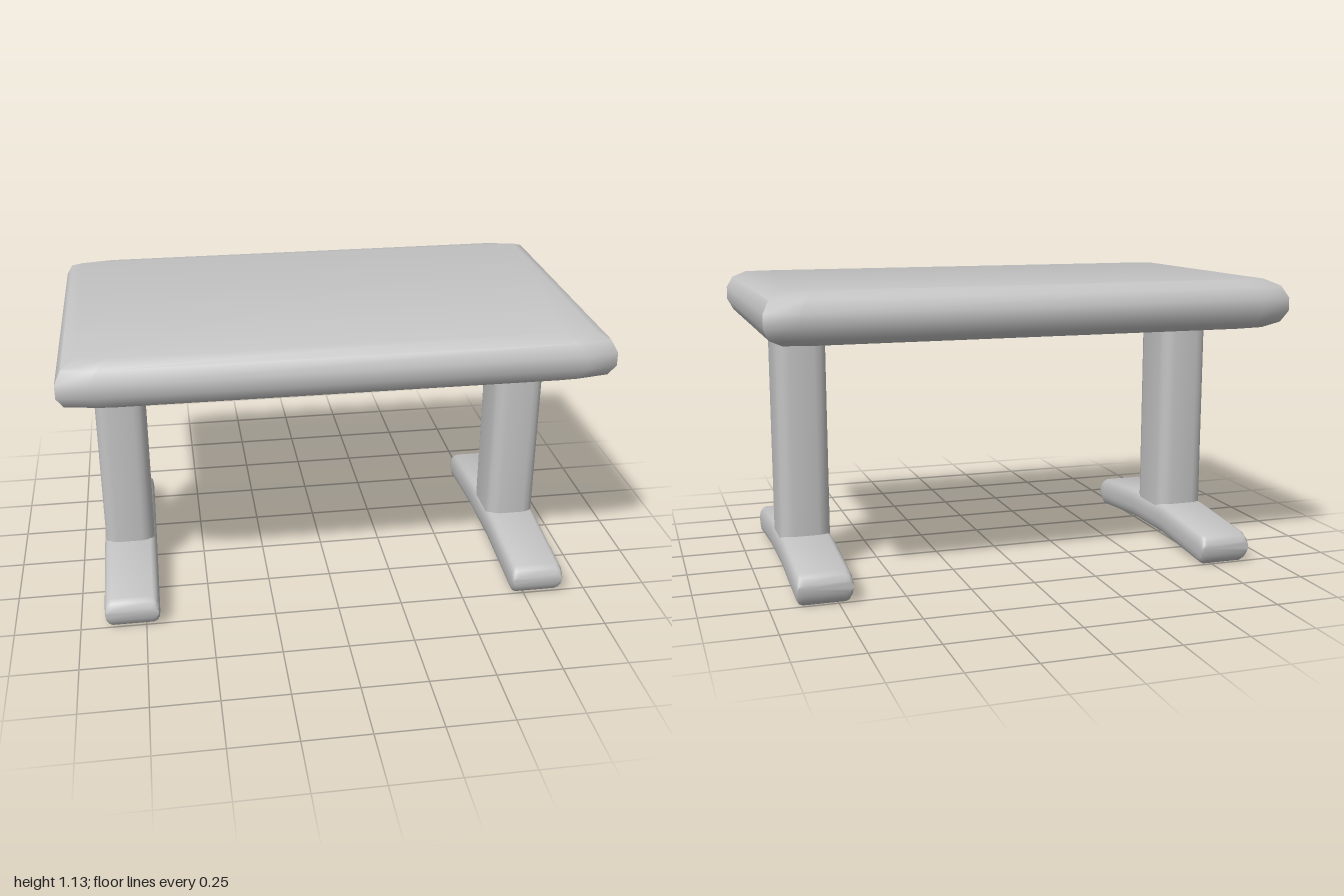
import * as THREE from 'three';
import { toCreasedNormals } from 'three/addons/utils/BufferGeometryUtils.js';

// Rectangle outline with elliptical corners, counter-clockwise
function ring(hw, hh, rx, ry, steps) {
  const pts = [];
  [[1, 1], [-1, 1], [-1, -1], [1, -1]].forEach(([sx, sy], q) => {
    for (let i = 0; i <= steps; i++) {
      const a = (q + i / steps) * Math.PI / 2;
      pts.push([sx * (hw - rx) + rx * Math.cos(a), sy * (hh - ry) + ry * Math.sin(a)]);
    }
  });
  return pts;
}

// Skin a row of outlines placed along +z and close both ends
function loft(sections, crease) {
  const pos = [], idx = [], n = sections[0].pts.length;
  for (const { z, y = 0, pts } of sections) for (const [px, py] of pts) pos.push(px, py + y, z);
  for (let s = 0; s < sections.length - 1; s++) {
    for (let i = 0; i < n; i++) {
      const a = s * n + i, b = s * n + (i + 1) % n;
      idx.push(a, b, b + n, a, b + n, a + n);
    }
  }
  const last = (sections.length - 1) * n;
  for (let i = 1; i < n - 1; i++) {
    idx.push(0, i + 1, i, last, last + i, last + i + 1);
  }
  const g = new THREE.BufferGeometry();
  g.setAttribute('position', new THREE.Float32BufferAttribute(pos, 3));
  g.setIndex(idx);
  return toCreasedNormals(g, crease);
}

export function createModel() {
  const model = new THREE.Group();
  model.name = 'table';
  const grey = new THREE.MeshStandardMaterial({ color: 0xc4c4c4 });
  grey.name = 'light grey';

  function add(name, geometry, x = 0) {
    const mesh = new THREE.Mesh(geometry, grey);
    mesh.name = name;
    mesh.position.x = x;
    model.add(mesh);
  }

  // Thick top: rounded edge profile as [height, inset]
  const edge = [[0.947, 0.075], [0.972, 0.025], [1.015, 0.002], [1.065, 0.002], [1.11, 0.025], [1.135, 0.075]];
  const top = loft(edge.map(([z, inset]) => ({
    z, pts: ring(1 - inset, 0.607 - inset, 0.12, 0.022, 1),
  })), 0.95);
  top.rotateX(-Math.PI / 2);
  add('tableTop', top);

  // Upright leg with rounded corners
  const legRing = ring(0.098, 0.125, 0.05, 0.05, 3);
  const leg = loft([{ z: 0.1, pts: legRing }, { z: 0.96, pts: legRing }], 0.9);
  leg.rotateX(-Math.PI / 2);

  // Arched foot: half of its sections as [z, centre height, half height, half width]
  const half = [[0.14, 0.095, 0.06, 0.106], [0.485, 0.064, 0.06, 0.105], [0.507, 0.067, 0.046, 0.103], [0.521, 0.069, 0.022, 0.1]];
  const rows = [...half.map(([z, ...r]) => [-z, ...r]).reverse(), ...half];
  const foot = loft(rows.map(([z, y, hh, hw]) => ({
    z, y, pts: ring(hw, hh, 0.026, hh * 0.75, 3),
  })), 0.8);

  for (const [side, x] of [['left', 0.8], ['right', -0.8]]) {
    add(side + 'Leg', leg, x);
    add(side + 'Foot', foot, x);
  }
  return model;
}
